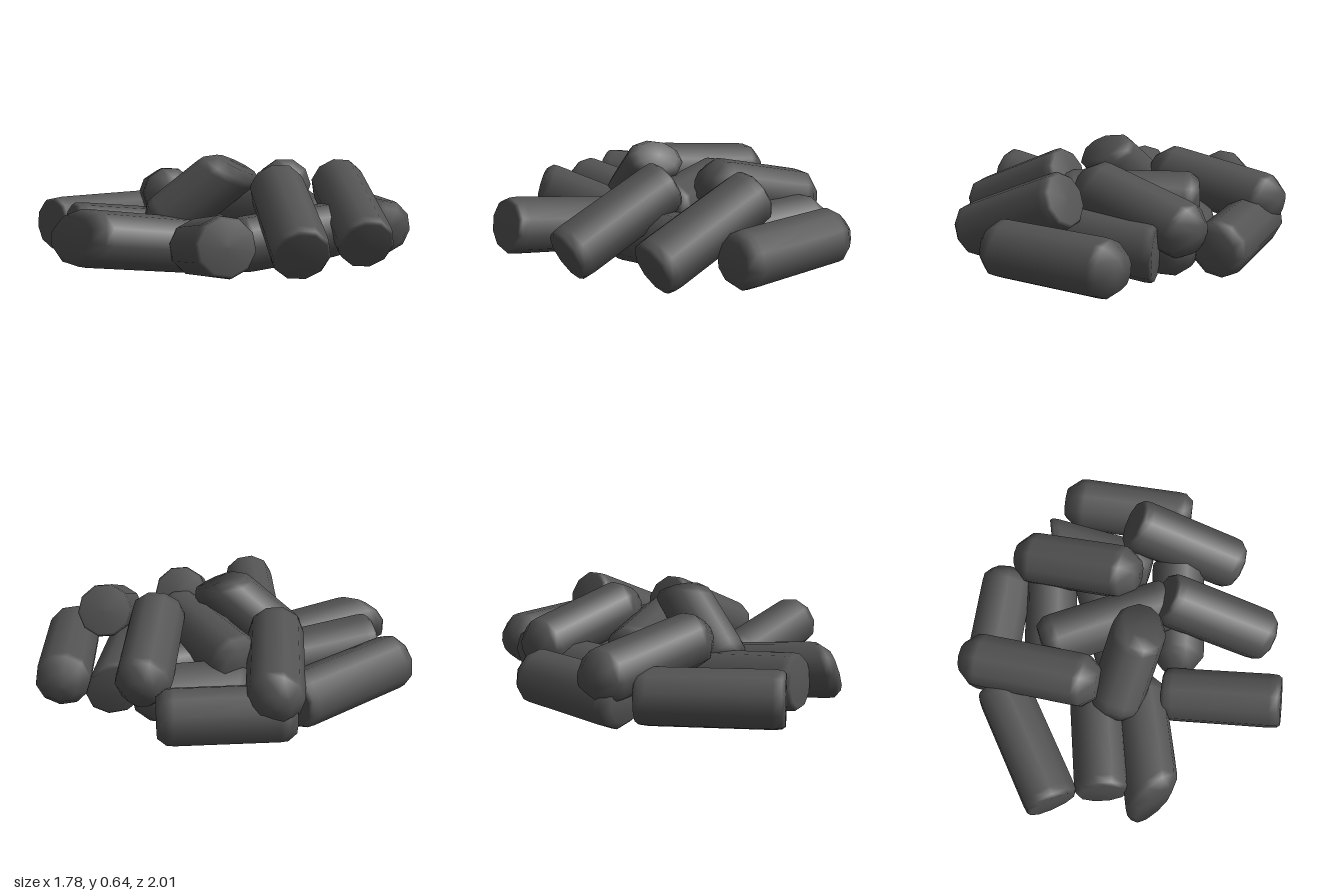
import * as THREE from 'three';

const RADIUS = 0.149;

// Chamfered round log lying between two end points; c0 and c1 are the end chamfer depths.
// Optional n0 and n1 are the facing directions of ends that are cut at a slant.
function makeLog([a, b, c0, c1, n0, n1], material) {
  const start = new THREE.Vector3(...a);
  const end = new THREE.Vector3(...b);
  const dir = end.clone().sub(start);
  const h = dir.length() / 2;
  const inner = (c) => RADIUS - c * 0.82;
  const profile = [
    [0, -h], [inner(c0), -h + 0.004], [RADIUS - 0.004, -h + c0], [RADIUS, -h + c0 + 0.04],
    [RADIUS, h - c1 - 0.04], [RADIUS - 0.004, h - c1], [inner(c1), h - 0.004], [0, h],
  ].map(([x, y]) => new THREE.Vector2(x, y));
  const log = new THREE.Mesh(new THREE.LatheGeometry(profile, 10), material);
  log.position.copy(start).add(end).multiplyScalar(0.5);
  log.quaternion.setFromUnitVectors(new THREE.Vector3(0, 1, 0), dir.normalize());

  // Slide the vertices of a slanted end along the axis onto the cut plane
  const pos = log.geometry.attributes.position;
  const toLocal = log.quaternion.clone().invert();
  [[n0, -1], [n1, 1]].forEach(([normal, side]) => {
    if (!normal) return;
    const n = new THREE.Vector3(...normal).applyQuaternion(toLocal);
    for (let i = 0; i < pos.count; i++) {
      if (pos.getY(i) * side < 0) continue;
      pos.setY(i, pos.getY(i) - (n.x * pos.getX(i) + n.z * pos.getZ(i)) / n.y);
    }
  });
  log.geometry.computeBoundingSphere();
  return log;
}

export function createModel() {
  const charcoal = new THREE.MeshStandardMaterial({ color: 0x535353 });
  charcoal.name = 'charcoal';
  const R = 0.08; // rounded end
  const M = 0.05; // slightly rounded end
  const F = 0.022; // blunt end

  const layers = {
    // bottom layer, dipping towards the middle of the pile
    lowerLog: [
      [[0.0, 0.235, -0.91], [0.665, 0.235, -0.56], R, M],
      [[0.155, 0.17, 0.38], [0.735, 0.285, 0.66], F, F],
      [[0.05, 0.147, 0.24], [-0.115, 0.255, 0.965], R, M, null, [0.34, 0.25, 0.92]],
      [[-0.165, 0.165, 0.13], [-0.35, 0.25, 0.82], R, F],
      [[-0.69, 0.225, 0.06], [-0.615, 0.245, 0.785], F, F],
      [[-0.45, 0.205, -0.59], [-0.765, 0.215, 0.035], M, M],
      [[-0.16, 0.235, -0.675], [0.33, 0.225, -0.33], F, R, [-1, 0, -0.2]],
      [[-0.195, 0.205, -0.59], [-0.39, 0.185, 0.025], R, R],
      [[0.52, 0.245, -0.385], [0.275, 0.175, 0.28], R, R],
      [[0.03, 0.18, -0.455], [-0.01, 0.14, 0.26], R, M],
    ],
    // upper layer, resting on the ones below
    upperLog: [
      [[0.285, 0.475, -0.535], [0.815, 0.195, -0.215], F, F],
      [[0.3, 0.475, -0.055], [0.815, 0.195, 0.255], F, F],
      [[-0.84, 0.315, -0.14], [-0.185, 0.415, 0.28], R, R],
      [[-0.37, 0.3, -0.63], [0.215, 0.475, -0.225], R, R],
      [[-0.41, 0.33, -0.065], [0.365, 0.34, -0.06], M, M],
    ],
    topLog: [
      [[0.13, 0.585, 0.07], [-0.155, 0.235, 0.4], M, M, [0.4, 1, -0.3]],
    ],
  };

  const pile = new THREE.Group();
  pile.name = 'logPile';
  for (const [name, logs] of Object.entries(layers)) {
    logs.forEach((spec, i) => {
      const log = makeLog(spec, charcoal);
      log.name = `${name}${i + 1}`;
      pile.add(log);
    });
  }
  return pile;
}
